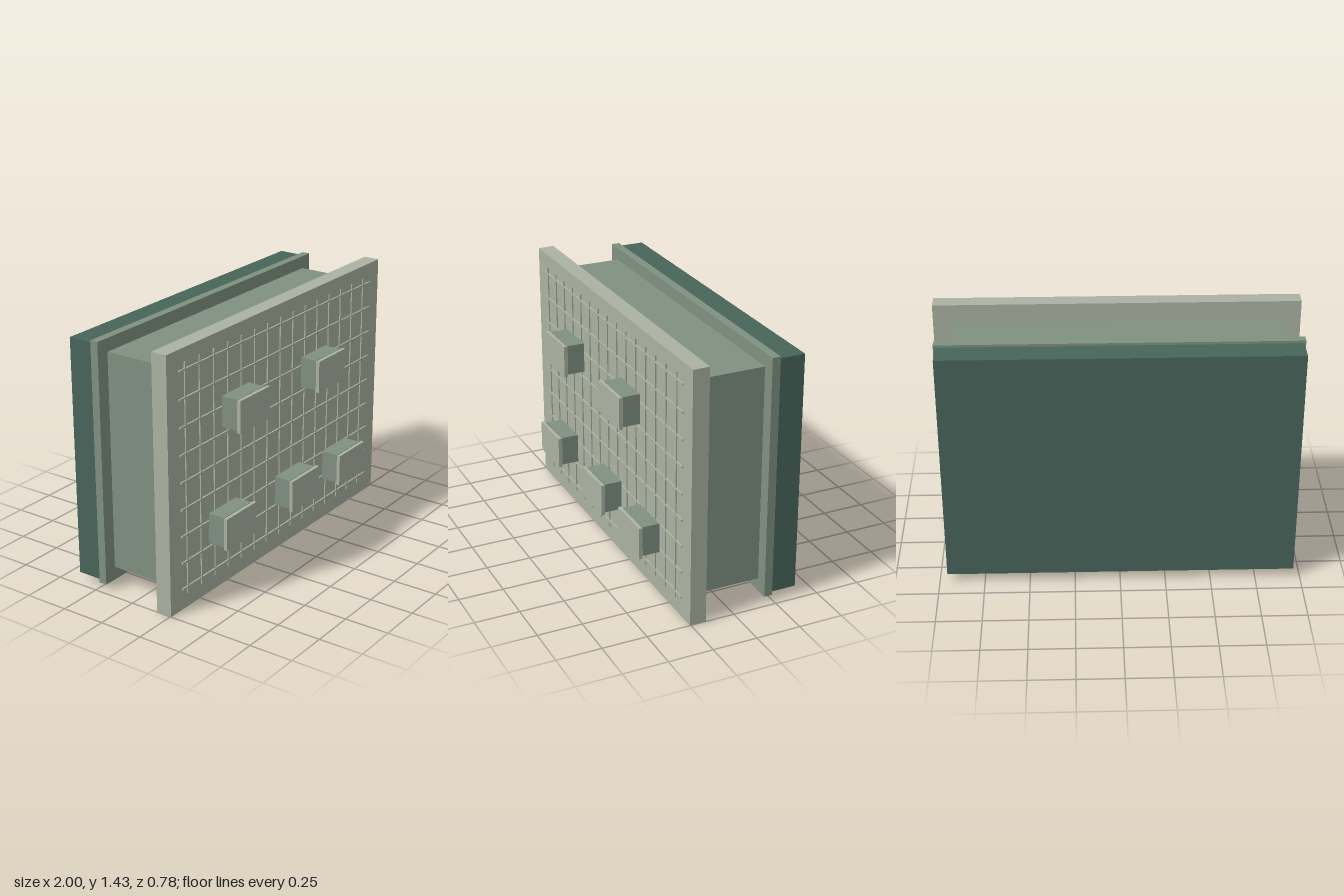
import * as THREE from 'three';

export function createModel() {
  const model = new THREE.Group();
  const paint = (name, color) => {
    const m = new THREE.MeshStandardMaterial({ color });
    m.name = name;
    return m;
  };
  const pale = paint('paleSage', 0xabb3a2);
  const sage = paint('midSage', 0x7f9181);
  const dark = paint('darkGreen', 0x48655a);

  // Box given by its min and max on each axis
  const box = (name, mat, [x0, x1], [y0, y1], [z0, z1], parent = model) => {
    const mesh = new THREE.Mesh(new THREE.BoxGeometry(x1 - x0, y1 - y0, z1 - z0), mat);
    mesh.position.set((x0 + x1) / 2, (y0 + y1) / 2, (z0 + z1) / 2);
    mesh.name = name;
    parent.add(mesh);
    return mesh;
  };
  const group = (name) => {
    const g = new THREE.Group();
    g.name = name;
    model.add(g);
    return g;
  };

  // Main stacked slabs, front to back
  box('frontPanel', pale, [-1, 1], [0, 1.43], [0.164, 0.255]);
  box('body', sage, [-0.898, 0.895], [0.11, 1.325], [-0.2, 0.158]);
  box('ledge', sage, [-0.973, 0.968], [0.036, 1.398], [-0.244, -0.198]);
  box('backBlock', dark, [-0.963, 0.957], [0.05, 1.384], [-0.388, -0.244]);

  // Raised grid of ribs on the front panel
  const grid = group('gridRibs');
  for (let i = 0; i < 9; i++) {
    const y = 0.118 + i * 0.15;
    box('horizontalRib', pale, [-0.905, 0.905], [y - 0.005, y + 0.005], [0.253, 0.264], grid);
  }
  for (let i = 0; i < 15; i++) {
    const x = -0.856 + i * 0.1204;
    box('verticalRib', pale, [x - 0.005, x + 0.005], [0.08, 1.355], [0.253, 0.262], grid);
  }

  // Vent boxes, each with a slightly larger floating cap
  const vents = [[-0.44, 0.996], [0.3, 0.986], [-0.56, 0.381], [0.052, 0.365], [0.539, 0.344]];
  for (const [x, y] of vents) {
    const vent = group('vent');
    box('ventBox', sage, [x - 0.12, x + 0.12], [y - 0.083, y + 0.083 + 0.004], [0.266, 0.364], vent);
    box('ventCap', pale, [x - 0.133, x + 0.133], [y - 0.09, y + 0.09], [0.371, 0.391], vent);
  }

  // Window plates on the underside
  for (const x of [0.7, 0.43, -0.31, -0.67]) {
    box('window', pale, [x - 0.09, x + 0.09], [0.104, 0.112], [-0.05, 0.095]);
  }

  // Double door with two handles on the underside
  box('doorFrame', sage, [-0.15, 0.15], [0.104, 0.112], [-0.2, 0.055]);
  box('door', dark, [-0.12, 0.12], [0.095, 0.104], [-0.2, 0.043]);
  for (const side of [-1, 1]) {
    box('doorHandle', sage, [side * 0.055 - 0.008, side * 0.055 + 0.008], [0.086, 0.096], [-0.16, -0.092]);
  }

  return model;
}
